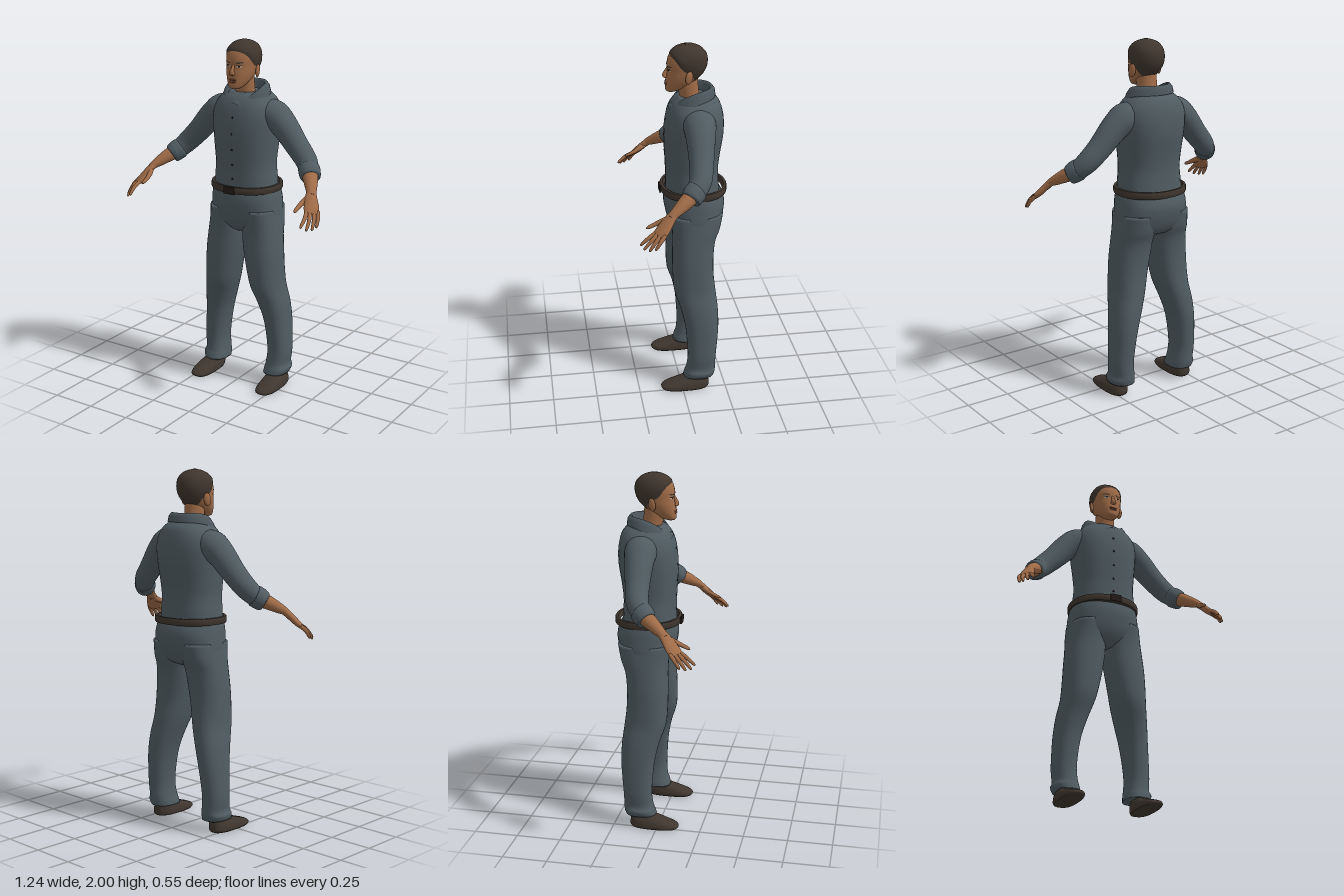
import * as THREE from 'three';
import { toCreasedNormals } from 'three/addons/utils/BufferGeometryUtils.js';

const N = 32; // points around each cross-section

const material = (name, color, side = THREE.FrontSide) => {
  const m = new THREE.MeshStandardMaterial({ color, side });
  m.name = name;
  return m;
};

// Catmull-Rom resampling of rows of numbers
function smooth(rows, steps = 4) {
  const out = [], at = i => rows[Math.max(0, Math.min(rows.length - 1, i))];
  for (let i = 0; i < rows.length - 1; i++) for (let k = 0; k < steps; k++) {
    const t = k / steps, p = at(i - 1), a = at(i), b = at(i + 1), q = at(i + 2);
    out.push(a.map((v, c) => {
      const cubic = 3 * (v - b[c]) + q[c] - p[c], square = 2 * p[c] - 5 * v + 4 * b[c] - q[c];
      return v + 0.5 * t * (b[c] - p[c] + t * (square + t * cubic));
    }));
  }
  out.push(rows[rows.length - 1]);
  return out;
}

// Skin of closed rings, rising from ring to ring, with optional end caps
function skin(rings, caps = true) {
  const pos = rings.flat(2), idx = [];
  for (let i = 0; i < rings.length - 1; i++) for (let j = 0; j < N; j++) {
    const a = i * N + j, b = i * N + (j + 1) % N;
    idx.push(a, b, b + N, a, b + N, a + N);
  }
  if (caps) [0, rings.length - 1].forEach((r, end) => {
    const mid = pos.length / 3;
    pos.push(...[0, 1, 2].map(c => rings[r].reduce((s, p) => s + p[c], 0) / N));
    for (let j = 0; j < N; j++) {
      const a = r * N + j, b = r * N + (j + 1) % N;
      idx.push(mid, end ? a : b, end ? b : a);
    }
  });
  const g = new THREE.BufferGeometry();
  g.setAttribute('position', new THREE.Float32BufferAttribute(pos, 3));
  g.setIndex(idx);
  g.computeVertexNormals();
  return g;
}

const ring = f => Array.from({ length: N }, (_, j) => f(j / N * Math.PI * 2));
const bend = (v, p) => Math.sign(v) * Math.abs(v) ** (2 / p);

// Point on a horizontal section [y, xMin, xMax, zFront, zBack]
function onSection([y, x0, x1, zf, zb], a, p, grow = 1) {
  return [(x0 + x1) / 2 + (x1 - x0) / 2 * grow * bend(Math.sin(a), p), y, (zf + zb) / 2 + (zf - zb) / 2 * grow * bend(Math.cos(a), p)];
}
const upright = (rows, p = 2.3) => skin(rows.map(r => ring(a => onSection(r, a, p))));
const even = rows => smooth(rows.map(([y, rx, zf, zb]) => [y, -rx, rx, zf, zb]));

// Section at a given height
function sectionAt(rows, y) {
  let i = 0;
  while (i < rows.length - 2 && rows[i + 1][0] < y) i++;
  const t = Math.min(1, Math.max(0, (y - rows[i][0]) / (rows[i + 1][0] - rows[i][0])));
  return rows[i].map((v, c) => v + t * (rows[i + 1][c] - v));
}

// Tapered limb through [x, y, z, width, depth]; ref is its width direction
function limb(path, ref = [0, 0, 1]) {
  const rows = smooth(path), V = r => new THREE.Vector3(...r.slice(0, 3));
  return skin(rows.map((r, i) => {
    const t = V(rows[Math.min(i + 1, rows.length - 1)]).sub(V(rows[Math.max(i - 1, 0)])).normalize();
    const s = V(ref).addScaledVector(t, -t.dot(V(ref))).normalize();
    const c = s.clone().cross(t);
    return ring(a => V(r).addScaledVector(s, r[3] * Math.sin(a)).addScaledVector(c, r[4] * Math.cos(a)).toArray());
  }));
}

function mirrored(g) {
  const m = g.clone().scale(-1, 1, 1), ix = m.index.array;
  for (let i = 0; i < ix.length; i += 3) [ix[i], ix[i + 1]] = [ix[i + 1], ix[i]];
  m.computeVertexNormals();
  return m;
}

export function createModel() {
  const cloth = material('slate cloth', 0x505c62), collarCloth = material('collar cloth', 0x4c575d, THREE.DoubleSide);
  const skinTone = material('skin', 0xa06c48), hairTone = material('hair', 0x40362e, THREE.DoubleSide);
  const leather = material('dark leather', 0x3f362f), lipTone = material('lips', 0x84503c);
  const white = material('eye white', 0xb8aa9c), dark = material('dark detail', 0x241d19);
  const model = new THREE.Group();
  const add = (name, g, m) => {
    const mesh = new THREE.Mesh(g, m);
    mesh.name = name;
    model.add(mesh);
  };
  const pair = (name, g, m) => { add('left ' + name, g, m); add('right ' + name, mirrored(g), m); };

  // Shirt
  const torso = even([[1.16, .185, .06, -.235], [1.23, .18, .06, -.232], [1.31, .173, .061, -.23], [1.4, .18, .066, -.24],
    [1.5, .19, .068, -.255], [1.58, .195, .06, -.256], [1.64, .182, .045, -.247], [1.685, .15, .022, -.23], [1.715, .11, -.01, -.2]]);
  add('shirt body', upright(torso), cloth);
  for (const y of [1.585, 1.495, 1.405, 1.32, 1.24])
    add('shirt button', new THREE.SphereGeometry(.006, 10, 6).scale(1, 1, .6).translate(0, y, sectionAt(torso, y)[3] + .002), dark);
  pair('sleeve', limb([[.09, 1.63, -.1, .07, .05], [.165, 1.598, -.1, .088, .08], [.235, 1.545, -.095, .078, .074], [.32, 1.45, -.085, .066, .065],
    [.39, 1.378, -.07, .06, .06], [.43, 1.335, -.04, .054, .054], [.45, 1.316, -.015, .052, .052]]), cloth);
  pair('rolled cuff', limb([[.425, 1.34, -.047, .054, .054], [.43, 1.335, -.04, .06, .059], [.45, 1.315, -.015, .059, .057],
    [.457, 1.309, -.005, .055, .053], [.461, 1.305, 0, .044, .044]]), cloth);

  // Folded collar: inner stand, top fold, outer leaf with two points
  const collarRow = (rx, zf, zb, y, drop, pow, notch = 0) => ring(a => {
    const f = (1 + Math.cos(a)) / 2, d = Math.min(a, 2 * Math.PI - a);
    return [rx * Math.sin(a), y - drop * f ** pow + notch * Math.max(0, 1 - d / .45), (zf + zb) / 2 + (zf - zb) / 2 * Math.cos(a)];
  });
  add('collar', skin([collarRow(.14, .048, -.212, 1.715, .085, 2, .035), collarRow(.128, .036, -.208, 1.748, .09, 2.5, .015),
    collarRow(.112, .022, -.195, 1.766, .092, 3), collarRow(.1, .012, -.18, 1.76, .09, 3), collarRow(.088, 0, -.165, 1.69, .04, 3)], false), collarCloth);

  // Trousers
  add('trouser seat', upright(even([[.92, .12, -.01, -.15], [.95, .185, .025, -.21], [1.01, .21, .055, -.247],
    [1.09, .204, .071, -.266], [1.14, .198, .07, -.258], [1.18, .188, .062, -.24]])), cloth);
  pair('trouser leg', upright(smooth([[.07, .135, .275, -.01, -.185], [.1, .138, .286, -.018, -.192], [.13, .144, .275, -.028, -.194], [.2, .15, .281, -.035, -.196],
    [.3, .142, .278, -.03, -.205], [.4, .125, .272, -.02, -.212], [.5, .095, .262, .002, -.21], [.6, .062, .245, .034, -.2], [.7, .038, .24, .041, -.19],
    [.8, .018, .235, .041, -.19], [.9, .004, .225, .038, -.202], [.97, 0, .217, .04, -.228], [1.06, .01, .205, .05, -.245]])), cloth);

  // Belt standing slightly off the waist
  const beltRow = (y, d) => ring(a => onSection([y, -.203 + d, .203 - d, .092 - d, -.28 + d], a, 2.15));
  const belt = skin([[1.162, .025], [1.162, .003], [1.168, 0], [1.194, 0], [1.2, .003], [1.2, .017], [1.17, .025]].map(r => beltRow(...r)), false);
  add('belt', toCreasedNormals(belt, .8), leather);
  add('belt buckle', new THREE.BoxGeometry(.064, .042, .009).translate(0, 1.181, .094), dark);

  // Shoes and ankles
  pair('shoe', upright(smooth([[0, .168, .278, .112, -.148], [.012, .163, .285, .123, -.155], [.028, .164, .283, .108, -.156],
    [.045, .168, .277, .06, -.154], [.06, .172, .268, .015, -.152], [.072, .178, .262, -.015, -.148]]), 2.7), leather);
  pair('ankle', limb([[.218, .04, -.075, .042, .05], [.215, .08, -.078, .04, .05], [.214, .13, -.08, .04, .048]], [1, 0, 0]), skinTone);

  // Forearms and hands
  const across = [.75, -.1, -.6];
  pair('forearm', limb([[.44, 1.325, -.03, .044, .042], [.47, 1.3, .015, .041, .038], [.5, 1.272, .06, .033, .03],
    [.52, 1.252, .092, .027, .022], [.528, 1.238, .106, .026, .02]], across), skinTone);
  pair('palm', limb([[.518, 1.256, .088, .025, .02], [.535, 1.225, .12, .034, .019], [.555, 1.19, .15, .041, .018],
    [.57, 1.165, .175, .039, .014], [.574, 1.158, .182, .03, .008]], across), skinTone);
  const fingers = { index: [[.547, 1.167, .192], [.558, 1.108, .272]], middle: [[.564, 1.164, .184], [.586, 1.094, .258]],
    ring: [[.58, 1.162, .17], [.605, 1.092, .232]], little: [[.594, 1.162, .152], [.613, 1.1, .2]] };
  for (const [name, [a, b]] of Object.entries(fingers)) {
    const row = (t, r, lift = 0) => [...a.map((v, c) => v + t * (b[c] - v) + [lift, lift, 0][c]), r, r];
    pair(name + ' finger', limb([row(-.15, .01), row(.2, .011, .004), row(.5, .01, .006), row(.85, .008, .002), row(.97, .005), row(1, .001)], across), skinTone);
  }
  pair('thumb', limb([[.523, 1.236, .11, .016, .014], [.508, 1.215, .145, .016, .014], [.499, 1.195, .185, .012, .011],
    [.499, 1.18, .22, .01, .008], [.5, 1.174, .234, .002, .002]], across), skinTone);

  // Head and neck
  add('neck', limb([[0, 1.64, -.085, .064, .06], [0, 1.72, -.07, .056, .054], [0, 1.82, -.055, .056, .06]], [1, 0, 0]), skinTone);
  const head = even([[1.742, .022, .05, .01], [1.752, .038, .06, -.02], [1.775, .055, .06, -.06], [1.8, .068, .059, -.1], [1.83, .078, .056, -.132],
    [1.86, .083, .051, -.15], [1.9, .086, .051, -.16], [1.94, .08, .04, -.155], [1.97, .062, .012, -.13], [1.985, .036, -.02, -.1], [1.991, .008, -.05, -.068]]);
  add('head', upright(head, 2.15), skinTone);
  pair('ear', new THREE.SphereGeometry(1, 16, 12).scale(.011, .036, .022).rotateY(.35).rotateX(-.15).translate(.09, 1.836, -.055), skinTone);
  add('nose', limb([[0, 1.819, .055, .008, .003], [0, 1.824, .06, .018, .01], [0, 1.834, .063, .014, .013],
    [0, 1.852, .056, .009, .01], [0, 1.875, .046, .008, .006]], [1, 0, 0]), skinTone);

  // Cropped hair between the hairline and the crown
  const hairline = smooth([[1.945], [1.94], [1.92], [1.872], [1.85], [1.815], [1.803], [1.8]], 16);
  const hairRows = Array.from({ length: 15 }, (_, i) => i / 14).map(s => ring(a => {
    const h = hairline[Math.round(Math.min(a, 2 * Math.PI - a) / Math.PI * 112)][0];
    const y = h + (1.991 - h) * Math.sin(s * Math.PI / 2);
    const p = onSection(sectionAt(head, y), a, 2.15, 1.01 + .07 * Math.min(1, s * 5));
    p[1] += .009 * s;
    return p;
  }));
  add('hair', skin(hairRows, false), hairTone);
  add('crown', new THREE.SphereGeometry(.016, 16, 8).scale(1, .12, 1.1).translate(0, 1.998, -.059), hairTone);

  // Face details laid thinly on the head
  const facePatch = (x, y, w, h, lift, tilt = 0) => {
    const g = new THREE.CircleGeometry(1, 20).scale(w, h, 1).rotateZ(tilt).translate(x, y, 0), p = g.attributes.position;
    for (let i = 0; i < p.count; i++) {
      const [, , rx, zf, zb] = sectionAt(head, p.getY(i));
      const k = (1 - Math.min(1, Math.abs(p.getX(i)) / rx) ** 2.15) ** (1 / 2.15);
      p.setZ(i, (zf + zb) / 2 + (zf - zb) / 2 * k + lift);
    }
    g.computeVertexNormals();
    return g;
  };
  pair('eye', facePatch(.036, 1.866, .014, .0055, .002), white);
  pair('iris', facePatch(.035, 1.866, .0055, .0052, .003), dark);
  pair('upper eyelid', facePatch(.036, 1.8715, .016, .0025, .0035), dark);
  pair('eyebrow', facePatch(.037, 1.886, .021, .004, .003, .1), hairTone);
  add('upper lip', new THREE.SphereGeometry(1, 16, 10).scale(.024, .005, .006).translate(0, 1.793, .058), lipTone);
  add('lower lip', new THREE.SphereGeometry(1, 16, 10).scale(.021, .006, .007).translate(0, 1.783, .058), lipTone);

  return model;
}
